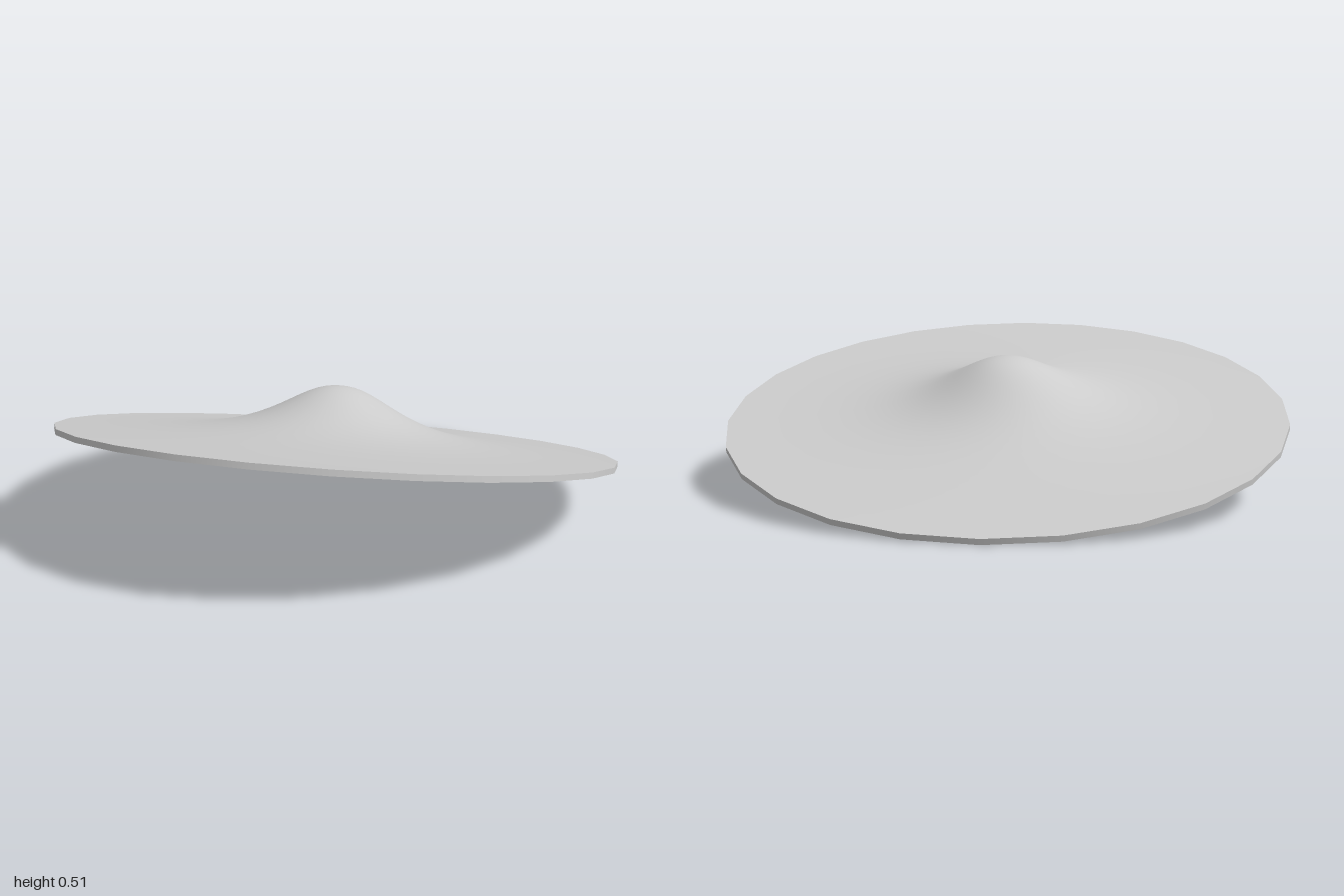
import * as THREE from 'three';

const RADIUS = 1.01, HALF = 0.01, SIDES = 26, RINGS = 24;

// Height of the central swell, fading gently towards the rim
const bell = (r) => 0.205 / (1 + Math.pow(r / 0.26, 2.3));
const height = (r) => bell(r) - bell(RADIUS);

export function createModel() {
  const group = new THREE.Group();
  group.name = 'tiltedDisc';
  const material = new THREE.MeshStandardMaterial({ color: 0xcccccc });

  const addLathe = (name, points) => {
    const mesh = new THREE.Mesh(new THREE.LatheGeometry(points, SIDES, Math.PI / 2), material);
    mesh.name = name;
    group.add(mesh);
  };

  // Profile from the centre to the rim, rings closer together near the swell
  const profile = (offset) => Array.from({ length: RINGS + 1 }, (_, i) => {
    const r = RADIUS * Math.pow(i / RINGS, 1.4);
    return new THREE.Vector2(r, height(r) + offset);
  });

  addLathe('topSurface', profile(HALF).reverse());
  addLathe('underside', profile(-HALF));
  addLathe('rim', [new THREE.Vector2(RADIUS, -HALF), new THREE.Vector2(RADIUS, HALF)]);

  // Tilt: front raised, left side lowered
  group.rotation.set(-0.197, 0, -0.145);
  group.position.y = 0.253;

  const model = new THREE.Group();
  model.name = 'domedDisc';
  model.add(group);
  return model;
}
